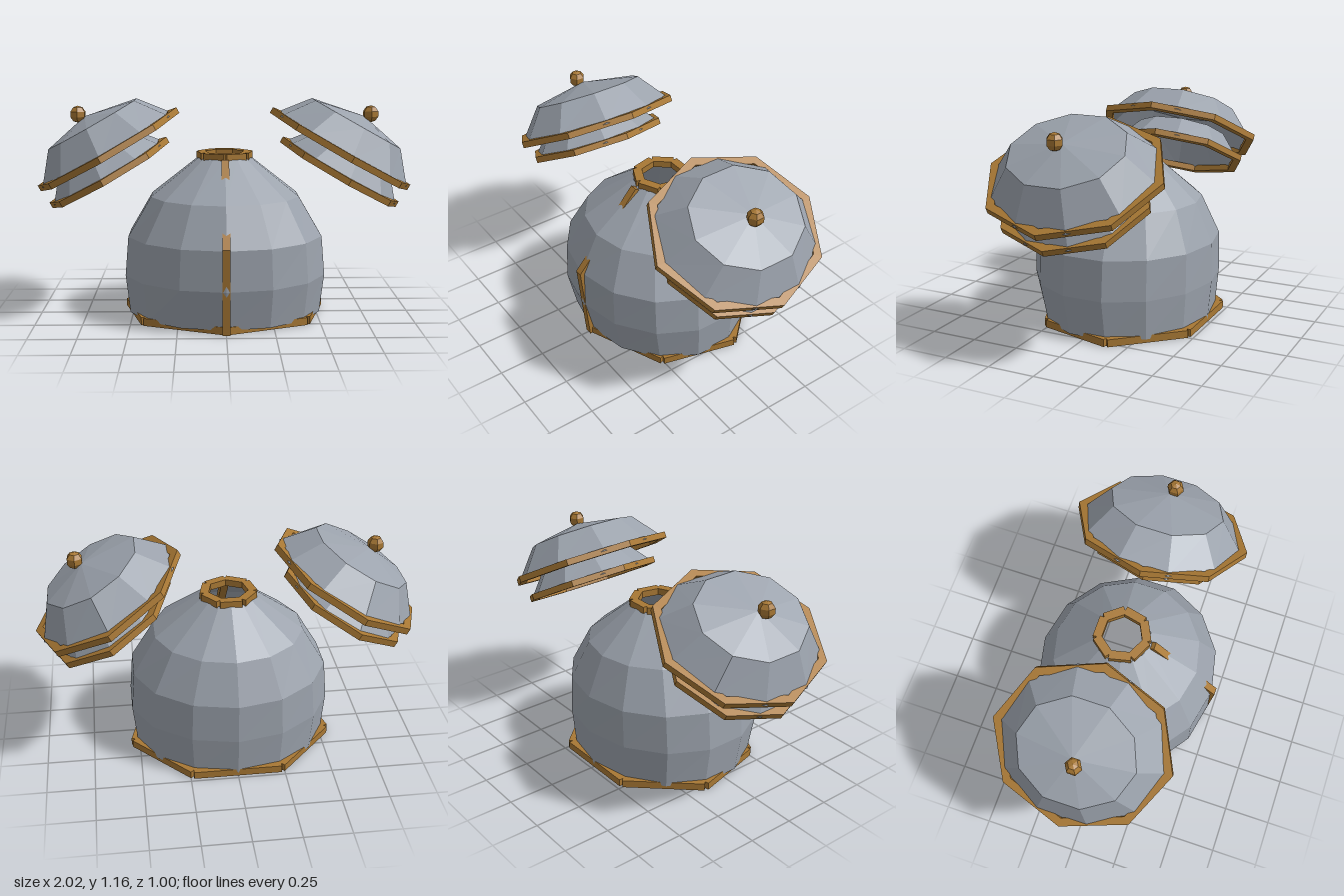
import * as THREE from 'three';

const steel = new THREE.MeshStandardMaterial({ color: 0x9ca3ad, flatShading: true, side: THREE.DoubleSide });
steel.name = 'steel';
const brass = new THREE.MeshStandardMaterial({ color: 0xa87834, flatShading: true });
brass.name = 'brass';

const TILT = THREE.MathUtils.degToRad(29.3);

function add(parent, name, geometry, material) {
  const mesh = new THREE.Mesh(geometry, material);
  mesh.name = name;
  parent.add(mesh);
  return mesh;
}

// Faceted shell through elliptical rings { y, rx, rz, x, z }, vertex 0 facing +z
function shell(rings, sides) {
  const pos = [];
  const point = (r, j) => {
    const a = (j / sides) * Math.PI * 2;
    return [(r.x || 0) + Math.sin(a) * r.rx, r.y, (r.z || 0) + Math.cos(a) * r.rz];
  };
  for (let i = 0; i < rings.length - 1; i++) {
    const lo = rings[i], hi = rings[i + 1];
    for (let j = 0; j < sides; j++) {
      const a = point(lo, j), b = point(lo, j + 1), c = point(hi, j + 1), d = point(hi, j);
      pos.push(...a, ...b, ...c);
      if (hi.rx > 0) pos.push(...a, ...c, ...d);
    }
  }
  const g = new THREE.BufferGeometry();
  g.setAttribute('position', new THREE.Float32BufferAttribute(pos, 3));
  g.computeVertexNormals();
  return g;
}

// Band of straight bars laid along the sides of a polygon
function barBand(parent, name, sides, rx, rz, y, z, width, height) {
  const band = new THREE.Group();
  band.name = name;
  for (let j = 0; j < sides; j++) {
    const a = (j / sides) * Math.PI * 2, b = ((j + 1) / sides) * Math.PI * 2;
    const p = new THREE.Vector2(Math.sin(a) * rx, Math.cos(a) * rz);
    const q = new THREE.Vector2(Math.sin(b) * rx, Math.cos(b) * rz);
    const bar = add(band, name + 'Bar', new THREE.BoxGeometry(p.distanceTo(q), height, width), brass);
    bar.position.set((p.x + q.x) / 2, y, z + (p.y + q.y) / 2);
    bar.rotation.y = -Math.atan2(q.y - p.y, q.x - p.x);
  }
  parent.add(band);
}

// Mitred polygon rim with a hole, lying flat around y = 0
function rimGeometry(sides, rx, rz, width, height) {
  const loop = (inset) => Array.from({ length: sides }, (_, j) => {
    const a = (j / sides) * Math.PI * 2;
    return new THREE.Vector2(Math.cos(a) * (rx - inset), Math.sin(a) * (rz - inset));
  });
  const shape = new THREE.Shape(loop(0));
  shape.holes.push(new THREE.Path(loop(width)));
  const g = new THREE.ExtrudeGeometry(shape, { depth: height, bevelEnabled: false });
  g.translate(0, 0, -height / 2);
  g.rotateX(-Math.PI / 2);
  return g;
}

// One tilted shoulder plate: shallow faceted cap and octagonal rim
function shoulderPlate(name, side, x, y, scale) {
  const plate = new THREE.Group();
  plate.name = name;
  add(plate, 'plateShell', shell([
    { y: 0, rx: 0.405 * scale, rz: 0.435 * scale },
    { y: 0.16 * scale, rx: 0.274 * scale, rz: 0.305 * scale },
    { y: 0.215 * scale, rx: 0, rz: 0, x: side * 0.02 * scale },
  ], 10), steel);
  add(plate, 'plateRim', rimGeometry(8, 0.43 * scale, 0.468 * scale, 0.045, 0.034), brass);
  plate.position.set(side * x, y, -0.03);
  plate.rotation.z = -side * TILT;
  return plate;
}

// Strap along the front of the dome, surfacing only where it clears the facets
function strapGeometry() {
  const outer = [[0.455, 0], [0.497, 0.45], [0.14, 0.855]];
  const inner = [[0.10, 0.83], [0.455, 0.43], [0.415, 0]];
  const shape = new THREE.Shape([...outer, ...inner].map(([z, y]) => new THREE.Vector2(z, y)));
  const g = new THREE.ExtrudeGeometry(shape, { depth: 0.04, bevelEnabled: false });
  g.translate(0, 0, -0.02);
  g.rotateY(-Math.PI / 2);
  return g;
}

export function createModel() {
  const model = new THREE.Group();
  model.name = 'armour';

  // Body dome, open at both ends
  const body = new THREE.Group();
  body.name = 'body';
  model.add(body);
  add(body, 'bodyShell', shell([
    { y: 0.02, rx: 0.523, rz: 0.457, z: -0.025 },
    { y: 0.23, rx: 0.546, rz: 0.49, z: -0.01 },
    { y: 0.44, rx: 0.528, rz: 0.487, z: -0.01 },
    { y: 0.65, rx: 0.403, rz: 0.39, z: -0.015 },
    { y: 0.85, rx: 0.145, rz: 0.145, z: -0.035 },
  ], 14), steel);

  // Trim: hem, collar and front strap
  barBand(body, 'hem', 7, 0.538, 0.465, 0.02, -0.04, 0.045, 0.04);
  barBand(body, 'collar', 7, 0.132, 0.132, 0.862, -0.037, 0.046, 0.036);
  add(body, 'frontStrap', strapGeometry(), brass);

  // Mirrored pairs of layered shoulder plates with a knob on each
  for (const side of [1, -1]) {
    const shoulder = new THREE.Group();
    shoulder.name = side > 0 ? 'leftShoulder' : 'rightShoulder';
    shoulder.add(shoulderPlate('upperPlate', side, 0.625, 0.892, 1));
    shoulder.add(shoulderPlate('lowerPlate', side, 0.622, 0.767, 0.845));
    const knob = add(shoulder, 'knob', new THREE.SphereGeometry(0.045, 6, 5), brass);
    knob.position.set(side * 0.78, 1.083, -0.012);
    knob.rotation.y = Math.PI / 2;
    model.add(shoulder);
  }
  return model;
}
